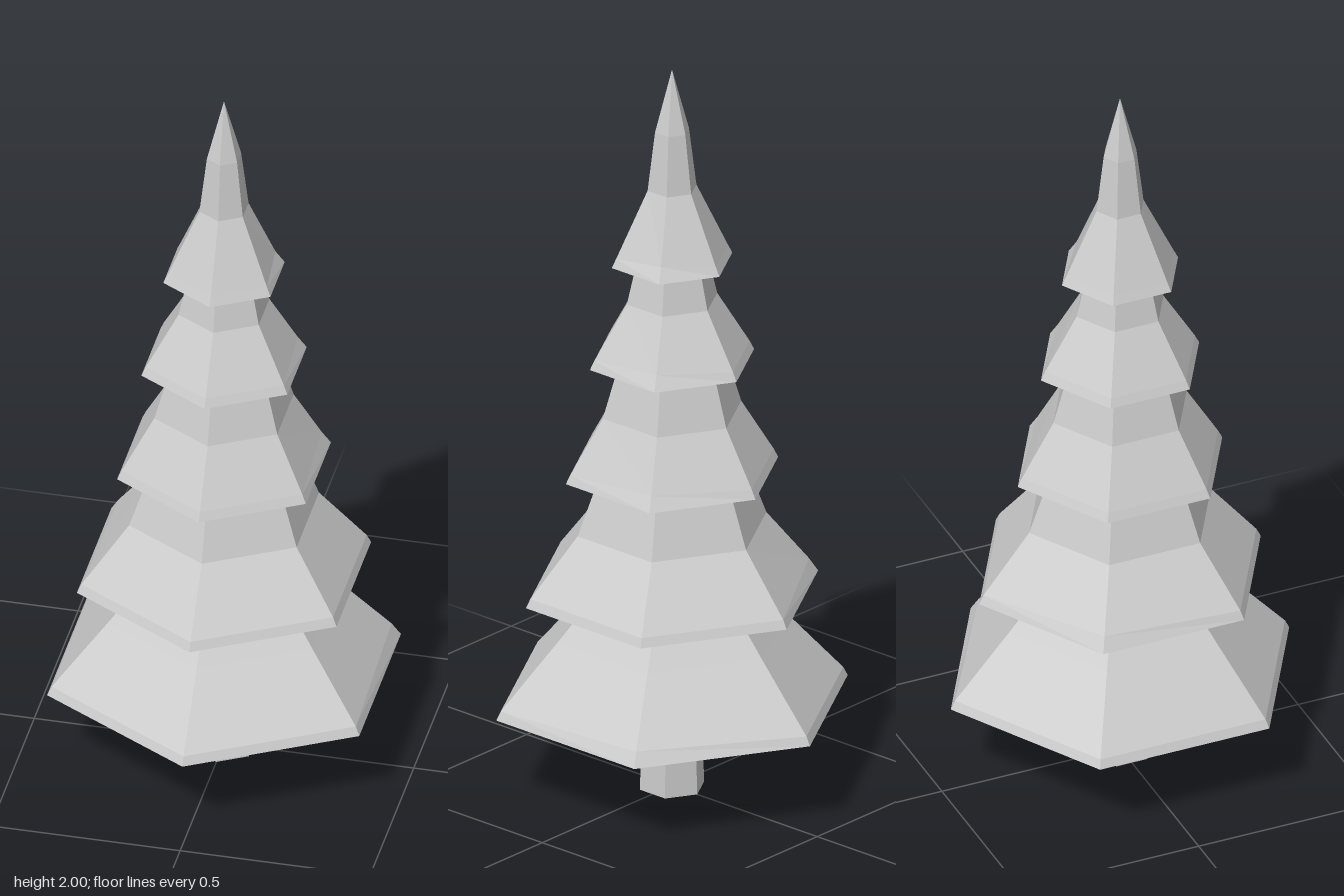
import * as THREE from 'three';

const SIDES = 6;
const material = new THREE.MeshStandardMaterial({ color: 0xcccccc, flatShading: true, side: THREE.DoubleSide });

// Each tier: rim height and corner radius, then the [radius, y] points above it.
// "under" is where the hollow underside ends; "lift" is the rim corner that is bent up.
const tiers = [
  { rim: [0.475, 0.245], up: [[0.31, 0.44], [0.215, 0.55], [0.18, 0.72]], under: [[0.06, 0.78], [0.2, 0.56], [0.295, 0.44]], lift: 2 },
  { rim: [0.395, 0.548], up: [[0.255, 0.73], [0.2, 0.878], [0.15, 1.03]], under: [[0.175, 0.73]], lift: 4 },
  { rim: [0.287, 0.88], up: [[0.187, 1.05], [0.145, 1.19], [0.1, 1.33]], under: [[0.145, 1.04]], lift: 2 },
  { rim: [0.222, 1.19], up: [[0.122, 1.36], [0.097, 1.467], [0.06, 1.6]], under: [[0.095, 1.34]], lift: 2 },
  { rim: [0.163, 1.467], up: [[0.066, 1.67], [0.046, 1.83], [0, 2]], under: [[0.055, 1.6]], lift: 2 },
];

// Hollow six-sided skirt: up the outside from the underside and the rim band
function makeTier({ rim: [r, y], up, under, lift }) {
  const profile = [...under, [r - 0.008, y], [r, y], [r - 0.012, y + 0.024], ...up];
  const geometry = new THREE.LatheGeometry(profile.map(([a, b]) => new THREE.Vector2(a, b)), SIDES);
  // bend one upper rim corner for a hand-cut look
  const pos = geometry.attributes.position;
  const i = lift * profile.length + under.length + 2;
  const k = (r - 0.025) / (r - 0.012);
  pos.setXYZ(i, pos.getX(i) * k, pos.getY(i) + 0.014, pos.getZ(i) * k);
  return new THREE.Mesh(geometry, material);
}

export function createModel() {
  const tree = new THREE.Group();
  tree.name = 'pineTree';

  // Tapered trunk, running up inside the lowest tier
  const trunk = new THREE.Mesh(new THREE.CylinderGeometry(0.06, 0.087, 0.78, SIDES), material);
  trunk.position.y = 0.39;
  trunk.name = 'trunk';
  tree.add(trunk);

  // Stacked branch tiers
  tiers.forEach((tier, n) => {
    const mesh = makeTier(tier);
    mesh.name = `branchTier${n + 1}`;
    tree.add(mesh);
  });
  return tree;
}
